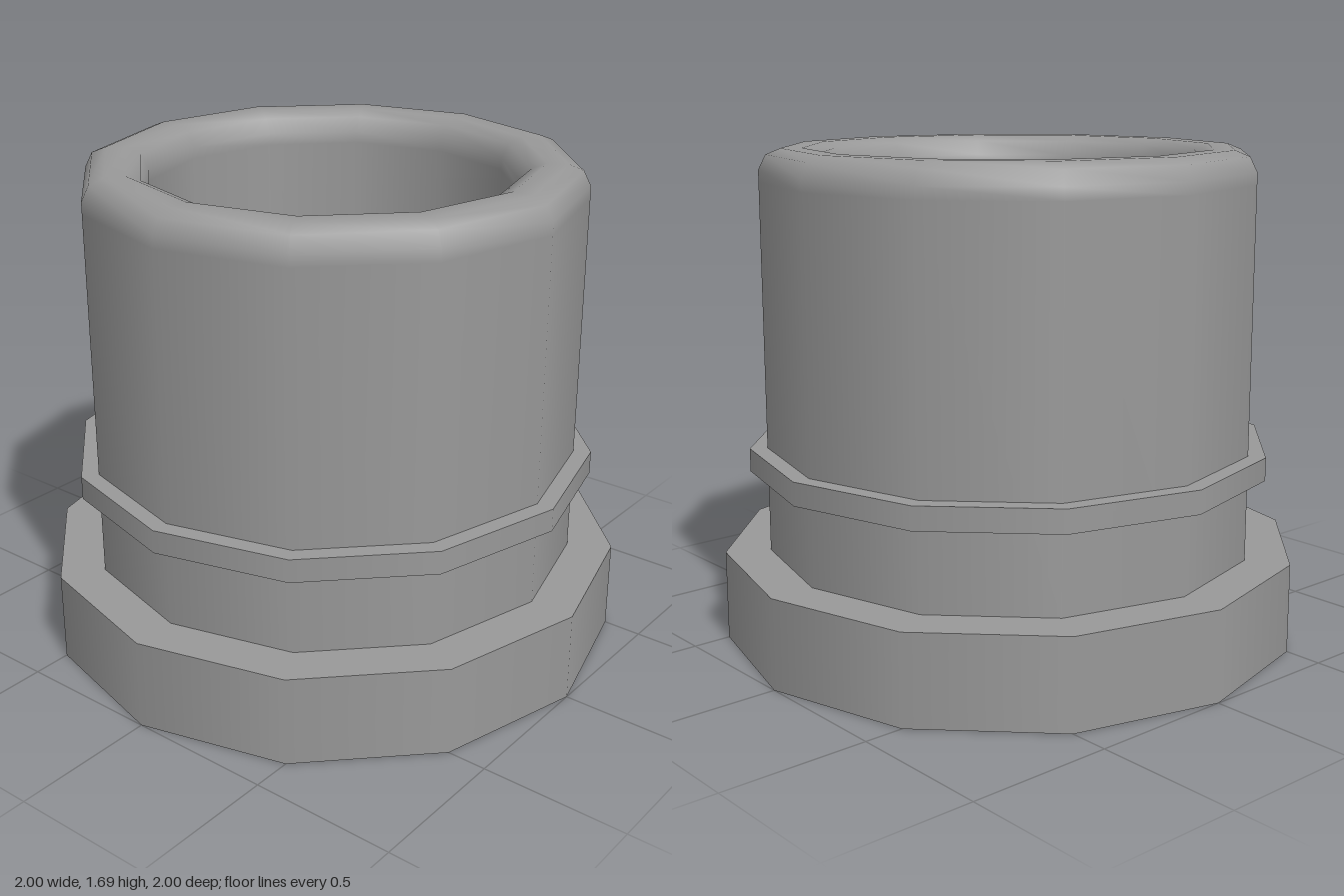
import * as THREE from 'three';

const SIDES = 12;

export function createModel() {
  const model = new THREE.Group();
  const grey = new THREE.MeshStandardMaterial({ color: 0x999999 });
  grey.name = 'grey';

  // Each profile is a smooth run of [radius, height]; separate runs meet at hard edges.
  function turned(name, ...profiles) {
    const part = new THREE.Group();
    part.name = name;
    profiles.forEach((profile, i) => {
      const points = profile.map(([r, y]) => new THREE.Vector2(r, y));
      const mesh = new THREE.Mesh(new THREE.LatheGeometry(points, SIDES), grey);
      mesh.name = `${name}Surface${i + 1}`;
      part.add(mesh);
    });
    model.add(part);
  }

  // Wide foot: underside, side and top
  turned('base',
    [[0, 0], [1, 0]],
    [[1, 0], [1, 0.31]],
    [[1, 0.31], [0.84, 0.31]]);

  // Hollow barrel: outer wall rolling over the rounded rim into the bore
  turned('barrel',
    [[0.845, 0.31], [0.845, 1.58], [0.845, 1.62], [0.82, 1.67], [0.77, 1.69],
      [0.7, 1.69], [0.65, 1.67], [0.625, 1.62], [0.625, 1.58], [0.625, 0.31]]);

  // Floor of the bore
  turned('boreFloor', [[0.625, 0.31], [0, 0.31]]);

  // Thin collar around the barrel
  turned('collar',
    [[0.84, 0.595], [0.905, 0.595]],
    [[0.905, 0.595], [0.905, 0.675]],
    [[0.905, 0.675], [0.84, 0.675]]);

  return model;
}
